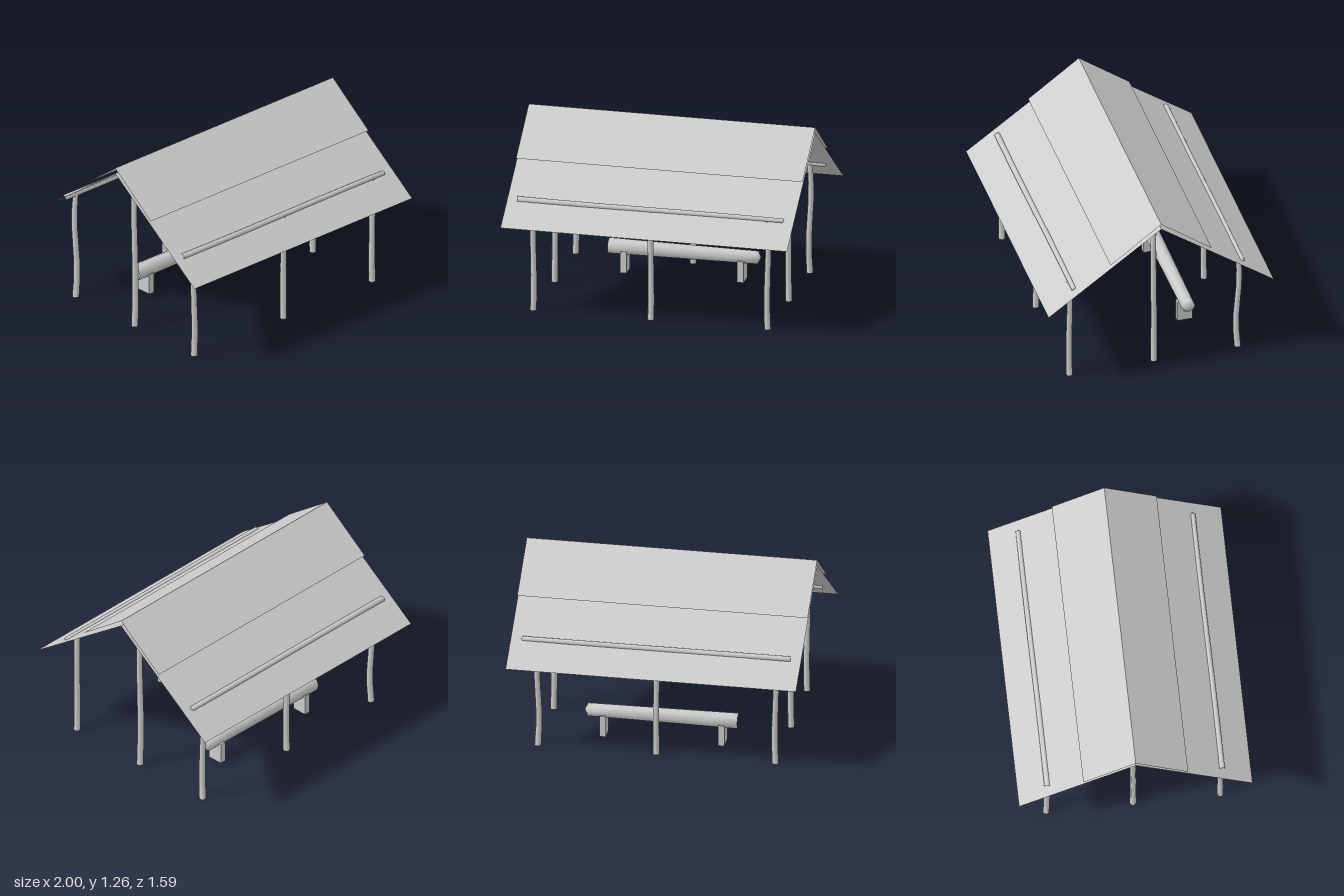
import * as THREE from 'three';
import { mergeVertices } from 'three/addons/utils/BufferGeometryUtils.js';

export function createModel() {
  const group = new THREE.Group();
  const grey = new THREE.MeshStandardMaterial({ color: 0xcccccc });
  grey.name = 'light grey';
  grey.side = THREE.FrontSide;
  const sheetGrey = grey.clone();
  sheetGrey.name = 'light grey sheet';
  sheetGrey.side = THREE.DoubleSide;

  function add(name, geometry, material, x = 0, y = 0, z = 0) {
    const mesh = new THREE.Mesh(geometry, material);
    mesh.name = name;
    mesh.position.set(x, y, z);
    group.add(mesh);
    return mesh;
  }

  // Eight-sided tapering pole, open at the foot and pointed at the tip, gently crooked
  function pole(length, r0, r1, tip, bendX = 0, bendZ = 0) {
    const profile = [];
    const rings = 6;
    for (let i = 0; i <= rings; i++) {
      const t = i / rings;
      profile.push(new THREE.Vector2(r0 + (r1 - r0) * t, (length - tip) * t));
    }
    profile.push(new THREE.Vector2(0, length));
    let geo = new THREE.LatheGeometry(profile, 8);
    const p = geo.attributes.position;
    for (let i = 0; i < p.count; i++) {
      const wave = Math.sin((p.getY(i) / length) * Math.PI * 2);
      p.setX(i, p.getX(i) + bendX * wave);
      p.setZ(i, p.getZ(i) + bendZ * wave);
    }
    geo.deleteAttribute('normal');
    geo.deleteAttribute('uv');
    geo = mergeVertices(geo, 1e-5);
    geo.computeVertexNormals();
    return geo;
  }

  // Posts: three under each eave, two under the ridge [x, z, height, bendX, bendZ]
  const posts = [
    [-0.82, 0.595, 0.785, 0.004, 0.002],
    [0, 0.595, 0.785, 0.002, -0.002],
    [0.815, 0.595, 0.785, -0.004, 0.002],
    [-0.82, -0.592, 0.785, 0.006, 0.007],
    [0, -0.592, 0.785, 0.002, 0.004],
    [0.815, -0.592, 0.785, -0.006, 0.01],
    [-0.82, 0, 1.185, 0.004, 0.003],
    [0.815, 0, 1.185, -0.004, -0.003],
  ];
  for (const [x, z, h, bx, bz] of posts) {
    add(z === 0 ? 'ridgePost' : 'eavePost', pole(h, 0.023, 0.019, 0.01, bx, bz), grey, x, 0, z);
  }

  // Horizontal beams resting on the posts
  for (const [name, y, z] of [['frontBeam', 0.785, 0.594], ['backBeam', 0.785, -0.594], ['ridgeBeam', 1.19, 0]]) {
    add(name, pole(1.86, 0.021, 0.018, 0.01, 0.001, 0.002).rotateZ(-Math.PI / 2), grey, -0.93, y, z);
  }

  // Roof: on each slope a full sheet with a shorter one lapped over it
  function sheet(name, side, topY, edgeY, edgeZ) {
    const run = edgeZ * side;
    const geo = new THREE.PlaneGeometry(2, 1);
    const p = geo.attributes.position;
    for (let i = 0; i < p.count; i++) {
      const top = p.getY(i) > 0;
      // mirrored in x as well on the back, so both sheets face outward
      p.setXYZ(i, p.getX(i) * side, top ? topY : edgeY, top ? 0 : run);
    }
    geo.computeVertexNormals();
    add(name, geo, sheetGrey);
  }
  for (const [label, side] of [['front', 1], ['back', -1]]) {
    sheet(label + 'LowerRoof', side, 1.22, 0.64, 0.795);
    sheet(label + 'UpperRoof', side, 1.26, 0.99, 0.357);
  }

  // Log bench on two block feet
  add('benchLog', pole(1.06, 0.057, 0.048, 0.025).rotateZ(-Math.PI / 2), grey, -0.52, 0.171, -0.332);
  for (const x of [-0.41, 0.407]) {
    add('benchFoot', new THREE.BoxGeometry(0.044, 0.15, 0.11), grey, x, 0.075, -0.333);
  }

  return group;
}
